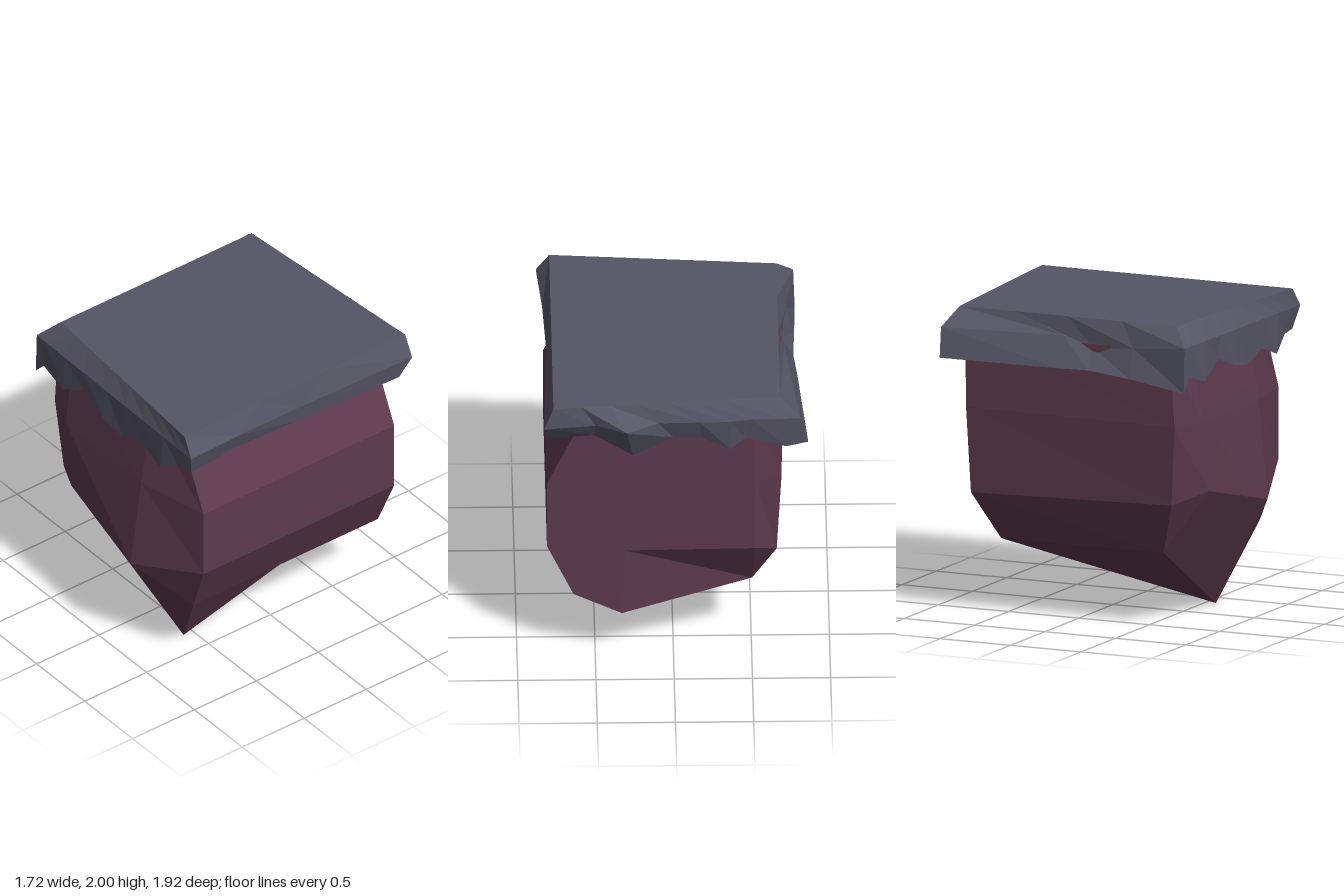
import * as THREE from 'three';

// Unshared triangles give every facet its own normal.
function facetMesh(name, triangles, material) {
  const geometry = new THREE.BufferGeometry();
  geometry.setAttribute('position', new THREE.Float32BufferAttribute(triangles.flat(2), 3));
  geometry.computeVertexNormals();
  const mesh = new THREE.Mesh(geometry, material);
  mesh.name = name;
  return mesh;
}

// Adds a polygon as a fan, leaving out collapsed triangles.
function addFace(out, ...p) {
  for (let i = 1; i < p.length - 1; i++) {
    const tri = [p[0], p[i], p[i + 1]];
    const t = new THREE.Triangle(...tri.map((q) => new THREE.Vector3(...q)));
    if (t.getArea() > 1e-6) out.push(tri);
  }
}

// Joins rows of points listed from top to bottom, counterclockwise seen from above.
function addRows(out, rows, closed) {
  for (let r = 0; r < rows.length - 1; r++) {
    const a = rows[r], b = rows[r + 1], n = a.length;
    for (let i = 0; i < (closed ? n : n - 1); i++) {
      const j = (i + 1) % n;
      addFace(out, a[i], b[i], b[j], a[j]);
    }
  }
}

const lerp = (a, b, t) => a.map((v, i) => v + (b[i] - v) * t);

export function createModel() {
  const rock = new THREE.MeshStandardMaterial({ color: 0x5e3a4d, flatShading: true });
  rock.name = 'plum rock';
  const slate = new THREE.MeshStandardMaterial({ color: 0x565564, flatShading: true, side: THREE.DoubleSide });
  slate.name = 'slate grey';

  // Rock body: eight-sided rings, front left round to back left
  const rings = [
    [[-0.73, 1.84, 0.76], [-0.51, 1.84, 0.81], [0.3, 1.84, 0.81], [0.58, 1.84, 0.78],
      [0.58, 1.84, -0.76], [0.31, 1.84, -0.76], [-0.52, 1.84, -0.76], [-0.68, 1.84, -0.72]],
    [[-0.73, 1.35, 0.79], [-0.5, 1.35, 0.88], [0.3, 1.35, 0.89], [0.81, 1.35, 0.78],
      [0.81, 1.35, -0.76], [0.31, 1.35, -0.76], [-0.52, 1.35, -0.76], [-0.69, 1.35, -0.71]],
    [[-0.69, 0.83, 0.75], [-0.43, 0.89, 0.89], [0.28, 0.72, 0.96], [0.81, 0.87, 0.78],
      [0.81, 0.87, -0.76], [0.31, 0.83, -0.76], [-0.52, 0.84, -0.76], [-0.66, 0.79, -0.69]],
    [[-0.56, 0.49, 0.63], [-0.56, 0.49, 0.63], [0.33, 0, 0.57], [0.64, 0.5, 0.73],
      [0.64, 0.5, -0.76], [0.33, 0.35, -0.76], [-0.505, 0.475, -0.55], [-0.505, 0.475, -0.55]],
  ];
  const body = [];
  addRows(body, rings, true);
  addFace(body, ...rings[0]);
  const [a, , c, d, e, f, g] = rings[3];
  addFace(body, f, e, d, c);
  addFace(body, g, f, c, a);

  // Slab corners: front left, front right, back right, back left
  const top = [[-0.68, 2, 0.78], [0.77, 2, 0.9], [0.77, 2, -0.88], [-0.68, 2, -0.76]];
  const cap = [];
  addFace(cap, ...top);

  // Ragged skirt: a ridge and a lower edge on each side
  const FL = [-0.79, 1.88, 0.89], FR = [0.855, 1.88, 0.915];
  const BR = [0.83, 1.85, -0.89], BL = [-0.81, 1.88, -0.83];
  const fl = [-0.8, 1.59, 0.89], fr = [0.81, 1.73, 0.88];
  const br = [0.81, 1.72, -0.8], bl = [-0.86, 1.69, -0.815];
  const frontEdge = [fl, [-0.72, 1.68, 0.89], [-0.51, 1.62, 0.9], [-0.3, 1.73, 0.89], [-0.08, 1.65, 0.91],
    [0.12, 1.62, 0.9], [0.32, 1.69, 0.9], [0.52, 1.62, 0.91], [0.68, 1.72, 0.89], fr];
  const frontRidge = frontEdge.map((p) => lerp(FL, FR, (p[0] - fl[0]) / (fr[0] - fl[0])));
  const sides = [
    [frontRidge, frontEdge],
    [[FR, [0.82, 1.86, 0.5], [0.8, 1.84, 0], BR],
      [fr, [0.78, 1.74, 0.5], [0.78, 1.72, 0], br]],
    [[BR, [0.5, 1.87, -0.88], [0.3, 1.86, -0.96], [0.1, 1.87, -0.86], [-0.17, 1.87, -0.855],
      [-0.36, 1.87, -0.85], [-0.5, 1.88, -0.84], [-0.7, 1.88, -0.835], BL],
    [br, [0.51, 1.76, -0.82], [0.26, 1.6, -0.82], [0, 1.73, -0.81], [-0.17, 1.73, -0.81],
      [-0.36, 1.64, -0.82], [-0.46, 1.72, -0.81], [-0.72, 1.66, -0.82], bl]],
    [[BL, [-0.72, 1.88, 0], [-0.7, 1.81, 0.2], [-0.735, 1.84, 0.5], FL],
      [bl, [-0.8, 1.68, 0], [-0.78, 1.68, 0.2], [-0.79, 1.65, 0.5], fl]],
  ];
  sides.forEach(([ridge, edge], s) => {
    const rim = ridge.map((p, i) => lerp(top[s], top[(s + 1) % 4], i / (ridge.length - 1)));
    addRows(cap, [rim, ridge, edge], false);
  });

  const model = new THREE.Group();
  model.name = 'cappedRock';
  model.add(facetMesh('rockBody', body, rock), facetMesh('slabCap', cap, slate));
  return model;
}
